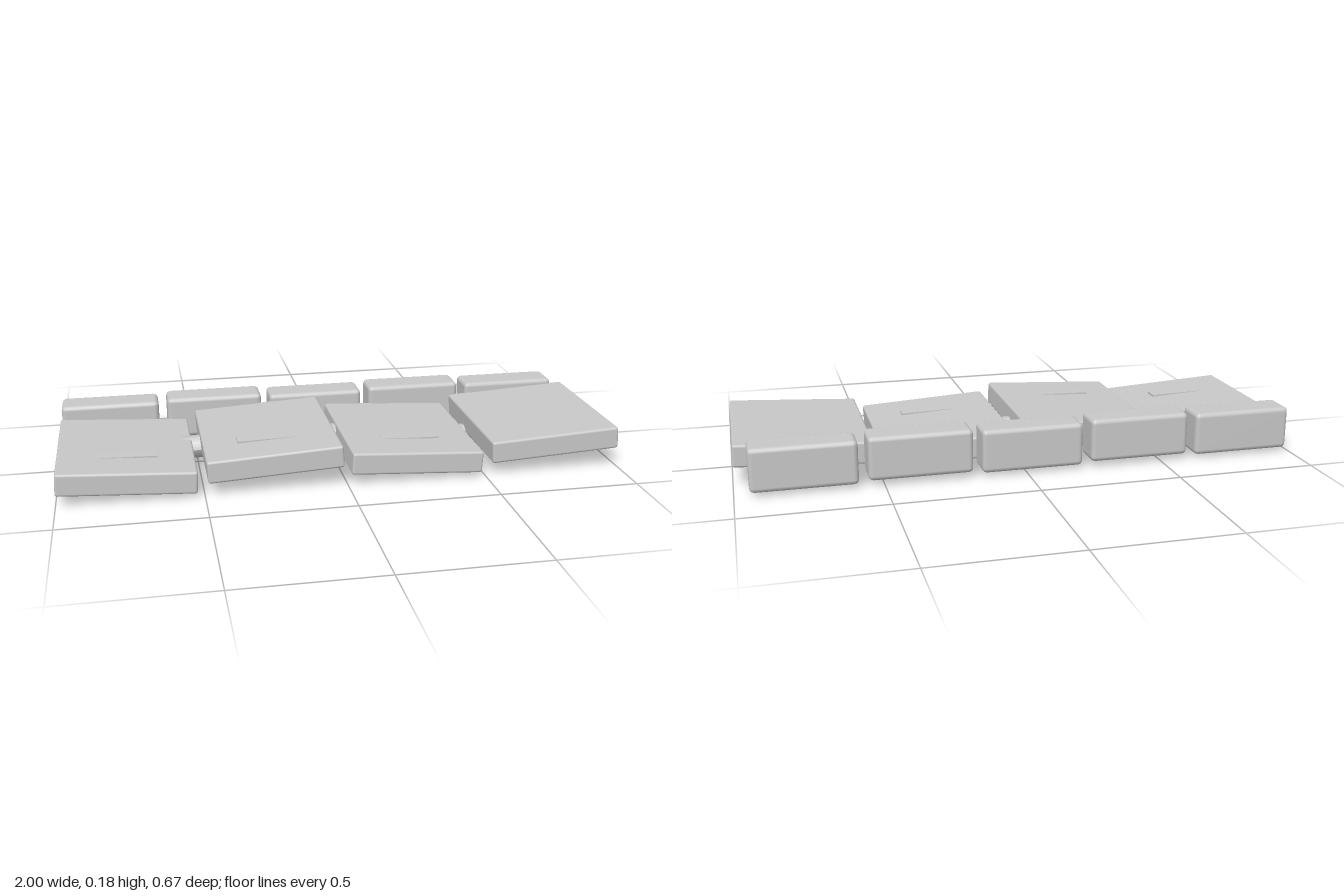
import * as THREE from 'three';
import { RoundedBoxGeometry } from 'three/addons/geometries/RoundedBoxGeometry.js';

const stone = new THREE.MeshStandardMaterial({ color: 0xc8c8c8 });
stone.name = 'light grey stone';

function add(group, name, geometry, x, y, z, tilt = 0) {
  const mesh = new THREE.Mesh(geometry, stone);
  mesh.name = name;
  mesh.position.set(x, y, z);
  mesh.rotation.z = tilt;
  group.add(mesh);
}

// Tapered root lying along x: each station is [x, y, z, radius]
function rootGeometry(stations) {
  const path = new THREE.CatmullRomCurve3(stations.map(([x, y, z]) => new THREE.Vector3(x, y, z)));
  const radii = new THREE.SplineCurve(stations.map((s, i) => new THREE.Vector2(i, s[3])));
  const geo = new THREE.CylinderGeometry(1, 1, 1, 10, 16);
  const pos = geo.attributes.position;
  for (let i = 0; i < pos.count; i++) {
    const t = THREE.MathUtils.clamp(pos.getY(i) + 0.5, 0, 1);
    const c = path.getPoint(t), r = radii.getPoint(t).y;
    pos.setXYZ(i, c.x, c.y - pos.getX(i) * r, c.z + pos.getZ(i) * r);
  }
  geo.computeVertexNormals();
  return geo;
}

export function createModel() {
  const group = new THREE.Group();
  group.name = 'pavement';

  // Tilted paving slabs
  const slab = new RoundedBoxGeometry(0.475, 0.08, 0.56, 2, 0.009);
  [
    [-0.76, 0.069, -0.056],
    [-0.253, 0.101, 0.056],
    [0.251, 0.069, -0.056],
    [0.76, 0.1, 0.056],
  ].forEach(([x, y, tilt]) => add(group, 'pavingSlab', slab, x, y, 0.055, tilt));

  // Thin inlays almost flush with the slab tops
  const inlay = new THREE.BoxGeometry(0.21, 0.02, 0.052);
  [
    [-0.755, 0.1025, -0.028],
    [-0.265, 0.134, 0.028],
    [0.26, 0.102, -0.028],
  ].forEach(([x, y, tilt]) => add(group, 'slabInlay', inlay, x, y, 0.164, tilt));

  // Kerb blocks along the back, every second one raised a little
  const kerb = new RoundedBoxGeometry(0.362, 0.155, 0.122, 2, 0.017);
  for (let i = 0; i < 5; i++) {
    add(group, 'kerbBlock', kerb, -0.808 + i * 0.394, i % 2 ? 0.1 : 0.0925, -0.274);
  }

  // Root pushing up the slabs from below
  add(group, 'root', rootGeometry([
    [-0.97, 0.03, -0.01, 0.03],
    [-0.5, 0.062, -0.002, 0.042],
    [0, 0.07, -0.008, 0.043],
    [0.5, 0.044, -0.018, 0.03],
    [0.9, 0.032, -0.025, 0.012],
  ]), 0, 0, 0);

  return group;
}
